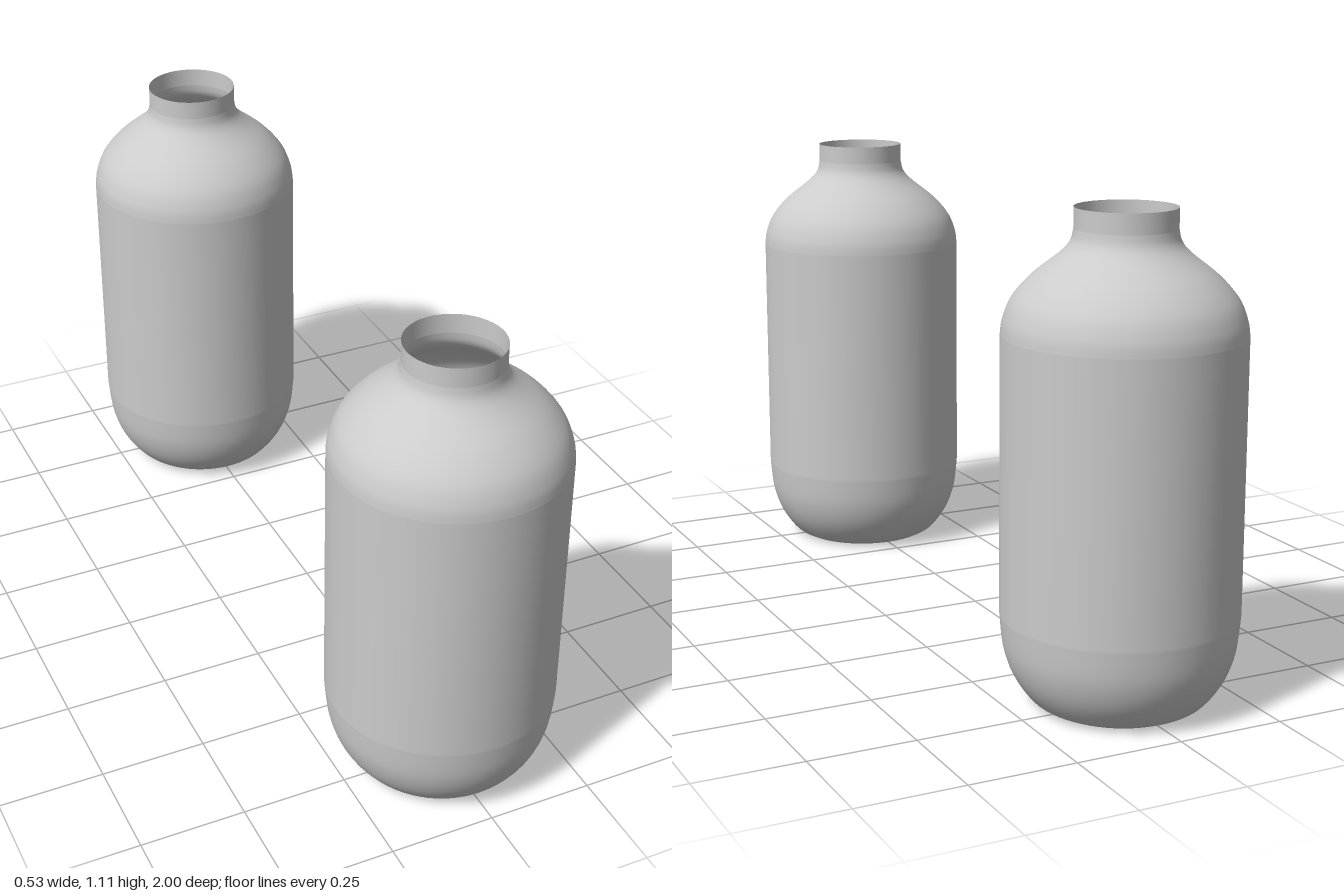
import * as THREE from 'three';

const SEGMENTS = 64;
const BASE_RADIUS = 0.17;

// Smooth lathe profile: rounded foot, straight wall, sloping shoulder, short neck
function bottleProfile() {
  const path = new THREE.CurvePath();
  const v = (x, y) => new THREE.Vector2(x, y);
  path.add(new THREE.SplineCurve([
    v(BASE_RADIUS, 0), v(0.2, 0.018), v(0.236, 0.068), v(0.258, 0.13), v(0.267, 0.21),
  ]));
  path.add(new THREE.LineCurve(v(0.267, 0.21), v(0.267, 0.83)));
  path.add(new THREE.SplineCurve([
    v(0.267, 0.83), v(0.262, 0.865), v(0.243, 0.91), v(0.202, 0.957),
    v(0.142, 1.005), v(0.119, 1.032), v(0.112, 1.06),
  ]));
  path.add(new THREE.LineCurve(v(0.112, 1.06), v(0.112, 1.105)));
  return path.getPoints(6);
}

export function createModel() {
  const model = new THREE.Group();
  model.name = 'bottlePair';
  const material = new THREE.MeshStandardMaterial({ color: 0xcccccc, side: THREE.DoubleSide });

  // Thin open shell, turned around the vertical axis
  const shellGeometry = new THREE.LatheGeometry(bottleProfile(), SEGMENTS);
  // Flat floor, separate so the foot keeps a crisp edge
  const baseGeometry = new THREE.CircleGeometry(BASE_RADIUS, SEGMENTS).rotateX(Math.PI / 2);

  for (const [name, z] of [['frontBottle', 0.733], ['backBottle', -0.733]]) {
    const bottle = new THREE.Group();
    bottle.name = name;
    const shell = new THREE.Mesh(shellGeometry, material);
    shell.name = 'bottleShell';
    const base = new THREE.Mesh(baseGeometry, material);
    base.name = 'bottleBase';
    bottle.add(shell, base);
    bottle.position.z = z;
    model.add(bottle);
  }
  return model;
}
